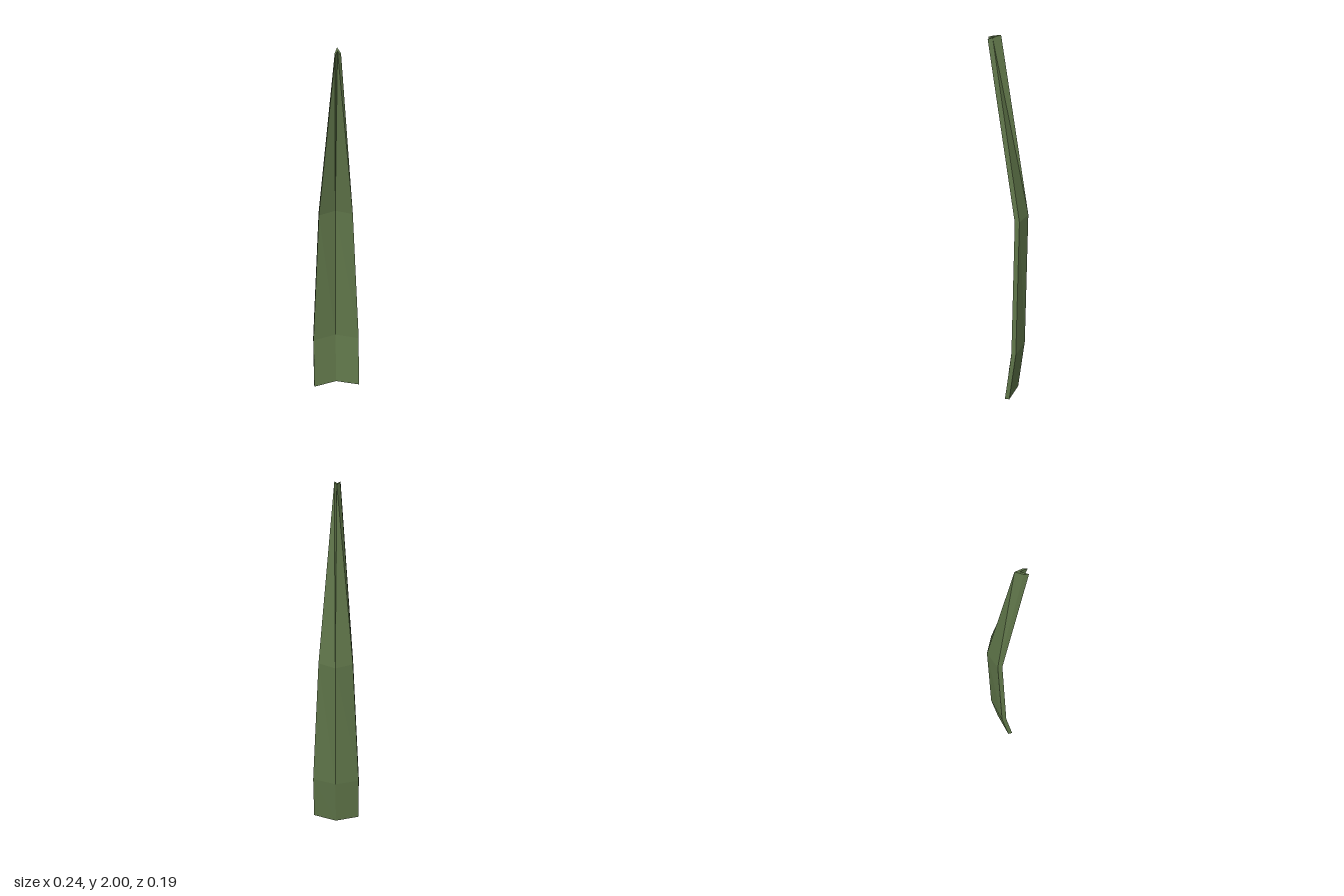
import * as THREE from 'three';

// Each station along the blade: height, half width, z of the back ridge, drop of the front edge
const STATIONS = [
  [0, 0.12, -0.05, 0],
  [0.29, 0.12, -0.084, 0.004],
  [1.055, 0.085, -0.097, 0],
  [2, 0.014, 0.036, 0.018],
];
const FOLD = 0.038; // depth of the V fold
const THICK = 0.023; // thickness from back to front

// Six-point chevron section: ridge, left edge, crease, right edge
function section([y, w, ridge, drop]) {
  return [
    [0, 0], [w, FOLD], [w, FOLD + THICK], [0, THICK], [-w, FOLD + THICK], [-w, FOLD],
  ].map(([x, d]) => [x, y - drop * d / (FOLD + THICK), ridge + d]);
}

function bladeGeometry() {
  const rings = STATIONS.map(section);
  const pos = [];
  const quad = (a, b, c, d) => [a, b, c, a, c, d].forEach((p) => pos.push(...p));

  // Long faces between neighbouring sections
  for (let s = 0; s < rings.length - 1; s++) {
    const lo = rings[s], hi = rings[s + 1];
    for (let i = 0; i < 6; i++) {
      const j = (i + 1) % 6;
      quad(lo[i], hi[i], hi[j], lo[j]);
    }
  }

  // End caps, one quad for each half of the chevron
  const bottom = rings[0], top = rings[rings.length - 1];
  for (const [a, b, c, d] of [[0, 1, 2, 3], [0, 3, 4, 5]]) {
    quad(bottom[a], bottom[b], bottom[c], bottom[d]);
    quad(top[d], top[c], top[b], top[a]);
  }

  const geometry = new THREE.BufferGeometry();
  geometry.setAttribute('position', new THREE.Float32BufferAttribute(pos, 3));
  geometry.computeVertexNormals();
  return geometry;
}

export function createModel() {
  const leafGreen = new THREE.MeshStandardMaterial({ color: 0x5f7549 });
  leafGreen.name = 'leafGreen';

  const group = new THREE.Group();
  group.name = 'grassBlade';
  const blade = new THREE.Mesh(bladeGeometry(), leafGreen);
  blade.name = 'foldedLeafBlade';
  group.add(blade);
  return group;
}
